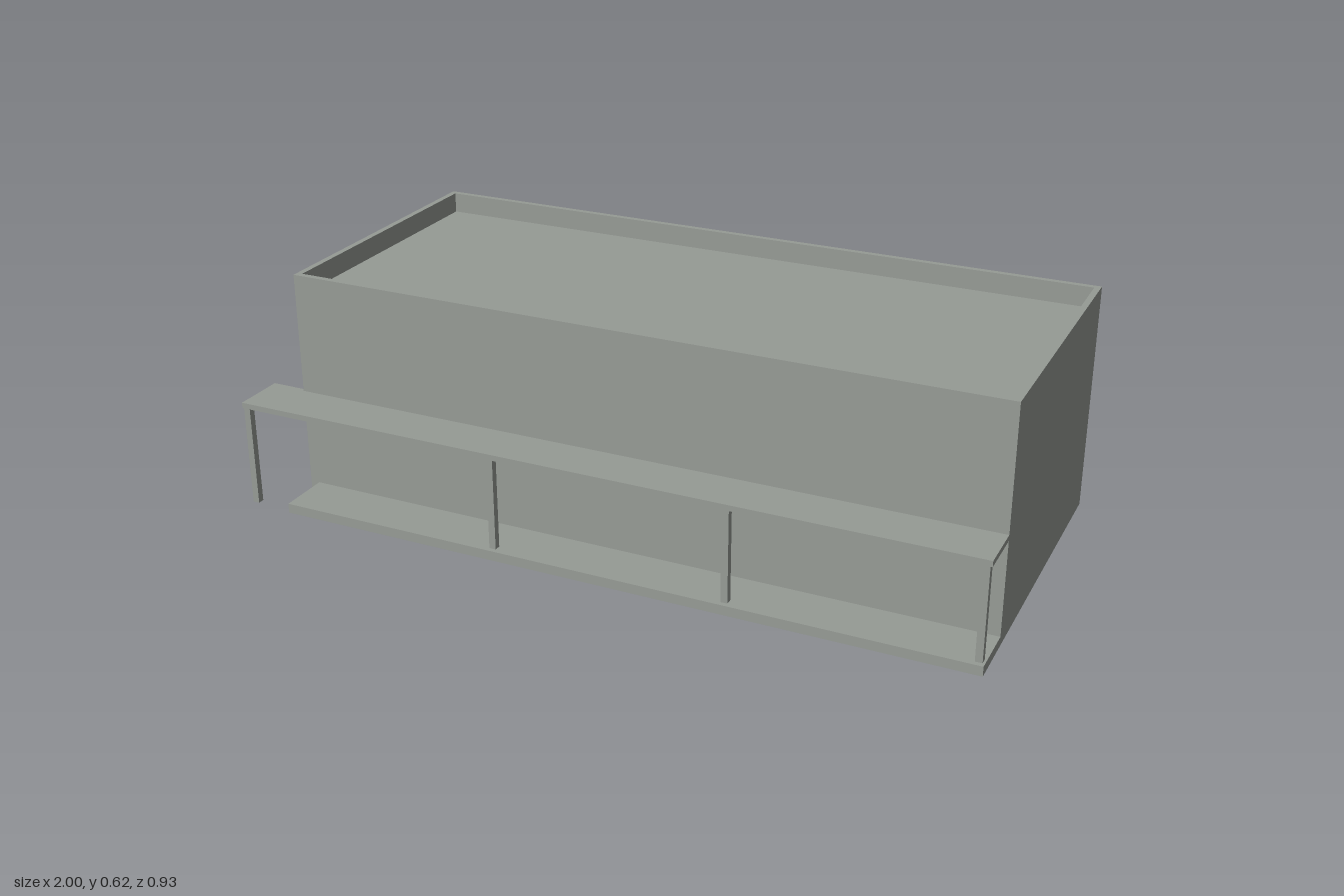
import * as THREE from 'three';

export function createModel() {
  const model = new THREE.Group();
  const concrete = new THREE.MeshStandardMaterial({ color: 0x969b95, side: THREE.DoubleSide });
  concrete.name = 'concrete grey';
  const rampTeal = new THREE.MeshStandardMaterial({ color: 0x4f7075 });
  rampTeal.name = 'ramp teal';

  const add = (name, geometry, material = concrete) => {
    const mesh = new THREE.Mesh(geometry, material);
    mesh.name = name;
    model.add(mesh);
    return mesh;
  };
  // Box given by its lower and upper limits on each axis
  const block = (name, [x0, x1], [y0, y1], [z0, z1]) =>
    add(name, new THREE.BoxGeometry(x1 - x0, y1 - y0, z1 - z0))
      .position.set((x0 + x1) / 2, (y0 + y1) / 2, (z0 + z1) / 2);

  // Main hall: hollow shell, open underneath
  const cx = 0.05, cz = -0.07, width = 1.9, depth = 0.79;
  const roofY = 0.56, topY = 0.615, rim = 0.016;
  const walls = ['frontWall', 'leftWall', 'backWall', 'rightWall'];
  walls.forEach((name, i) => {
    const side = i % 2 === 1;
    const wall = add(name, new THREE.PlaneGeometry(side ? depth : width, roofY));
    const angle = i * Math.PI / 2;
    const reach = (side ? width : depth) / 2;
    wall.rotation.y = angle;
    wall.position.set(cx + Math.sin(angle) * reach, roofY / 2, cz + Math.cos(angle) * reach);
  });

  // Sunken flat roof
  add('roof', new THREE.PlaneGeometry(width, depth).rotateX(-Math.PI / 2)).position.set(cx, roofY, cz);

  // Parapet around the roof
  const rectangle = (target, w, d) => target
    .moveTo(-w / 2, -d / 2).lineTo(w / 2, -d / 2).lineTo(w / 2, d / 2).lineTo(-w / 2, d / 2).closePath();
  const outline = rectangle(new THREE.Shape(), width, depth);
  outline.holes.push(rectangle(new THREE.Path(), width - 2 * rim, depth - 2 * rim));
  const parapet = new THREE.ExtrudeGeometry(outline, { depth: topY - roofY, bevelEnabled: false });
  add('parapet', parapet.rotateX(-Math.PI / 2)).position.set(cx, roofY, cz);

  // Front deck and canopy; the canopy is let slightly into the wall
  block('deck', [-0.875, 1], [0, 0.026], [0.325, 0.465]);
  block('canopy', [-1, 1], [0.275, 0.29], [0.315, 0.457]);

  // Canopy posts; the one beside the ramp stands on the ground
  for (const x of [-0.99, -0.265, 0.365, 0.985]) {
    block('canopyPost', [x - 0.009, x + 0.009], [x < -0.9 ? 0 : 0.026, 0.275], [0.434, 0.452]);
  }

  // Sloping ramp on the right, drawn in z and y and extruded across x
  const profile = new THREE.Shape([
    [-0.07, 0], [0.345, 0.266], [0.339, 0.275], [0.327, 0.275], [-0.08, 0.012],
  ].map(([z, y]) => new THREE.Vector2(z, y)));
  const ramp = new THREE.ExtrudeGeometry(profile, { depth: 0.1, bevelEnabled: false });
  add('ramp', ramp.rotateY(-Math.PI / 2), rampTeal).position.x = -0.89;

  return model;
}
